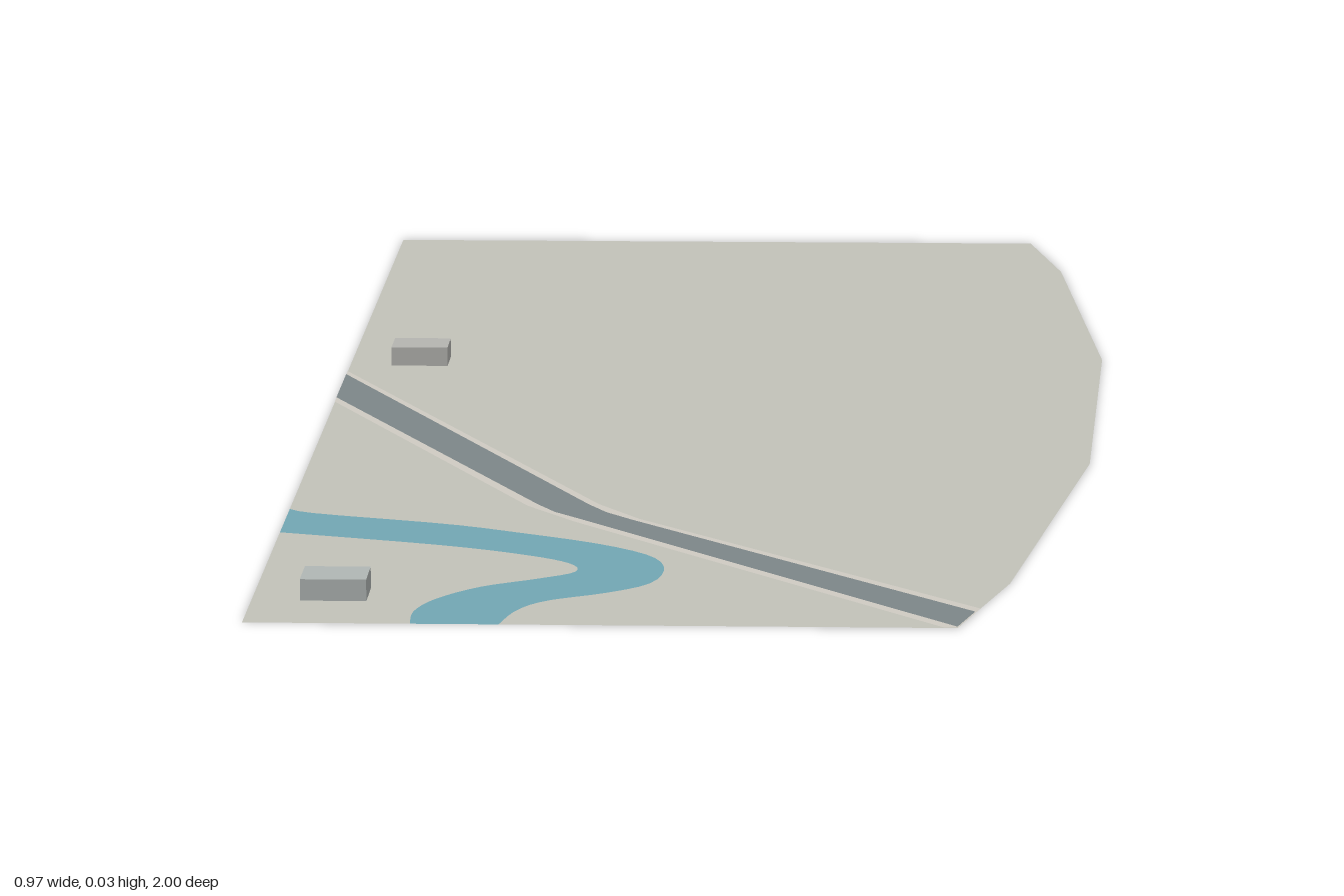
import * as THREE from 'three';

const material = (color) => new THREE.MeshStandardMaterial({ color, side: THREE.DoubleSide, roughness: 0.9 });

// Flat horizontal sheet from a list of [x, z] corners
function sheet(name, corners, y, mat) {
  const shape = new THREE.Shape(corners.map(([x, z]) => new THREE.Vector2(x, -z)));
  const mesh = new THREE.Mesh(new THREE.ShapeGeometry(shape).rotateX(-Math.PI / 2), mat);
  mesh.name = name;
  mesh.position.y = y;
  return mesh;
}

// Smooth bank line through a few [x, z] points
function bank(points) {
  const curve = new THREE.SplineCurve(points.map(([x, z]) => new THREE.Vector2(x, z)));
  return curve.getPoints(36).map((p) => [p.x, p.y]);
}

export function createModel() {
  const model = new THREE.Group();
  model.name = 'sitePlan';
  const W = -0.485;

  // River banks, from the left-hand border round to the front border
  const outerBank = bank([[W, 0.52], [-0.45, 0.54], [-0.3, 0.582], [-0.21, 0.62], [-0.12, 0.665],
    [-0.06, 0.715], [-0.042, 0.77], [-0.055, 0.83], [-0.1, 0.87], [-0.165, 0.905], [-0.195, 0.945], [-0.21, 1]]);
  const innerBank = bank([[W, 0.625], [-0.3, 0.675], [-0.2, 0.715], [-0.148, 0.75], [-0.14, 0.785],
    [-0.18, 0.815], [-0.24, 0.85], [-0.285, 0.9], [-0.305, 0.95], [-0.305, 1]]);

  // Ground, split by the river channel
  const land = material(0xc2c2b9);
  const border = [[0.28, 1], [0.34, 0.82], [0.447, 0.28], [0.483, -0.27], [0.447, -0.81], [0.41, -1], [W, -1]];
  model.add(sheet('mainGround', [...outerBank, ...border], 0, land));
  model.add(sheet('riversideGround', [...innerBank, [W, 1]], 0, land));
  model.add(sheet('river', [...outerBank, ...[...innerBank].reverse()], 0, material(0x72a7b3)));

  // Road with pale shoulders, trimmed at the site border
  model.add(sheet('roadShoulders', [[W, -0.175], [-0.129, 0.49], [-0.079, 0.556], [0.306, 0.925],
    [0.28, 1], [0.265, 1], [-0.153, 0.57], [-0.211, 0.5], [W, -0.008]], 0.0008, material(0xcfcbc2)));
  model.add(sheet('road', [[W, -0.155], [-0.14, 0.495], [-0.118, 0.53], [-0.087, 0.563], [0.3, 0.94],
    [0.28, 1], [-0.145, 0.563], [-0.178, 0.53], [-0.2, 0.495], [W, -0.028]], 0.0016, material(0x7d8689)));

  // Small box buildings
  for (const [name, z, color] of [['backBuilding', -0.23, 0xb4b4b0], ['frontBuilding', 0.892, 0xb0b6b4]]) {
    const box = new THREE.Mesh(new THREE.BoxGeometry(0.072, 0.024, 0.054), material(color));
    box.name = name;
    box.position.set(-0.395, 0.014, z);
    model.add(box);
  }
  return model;
}
